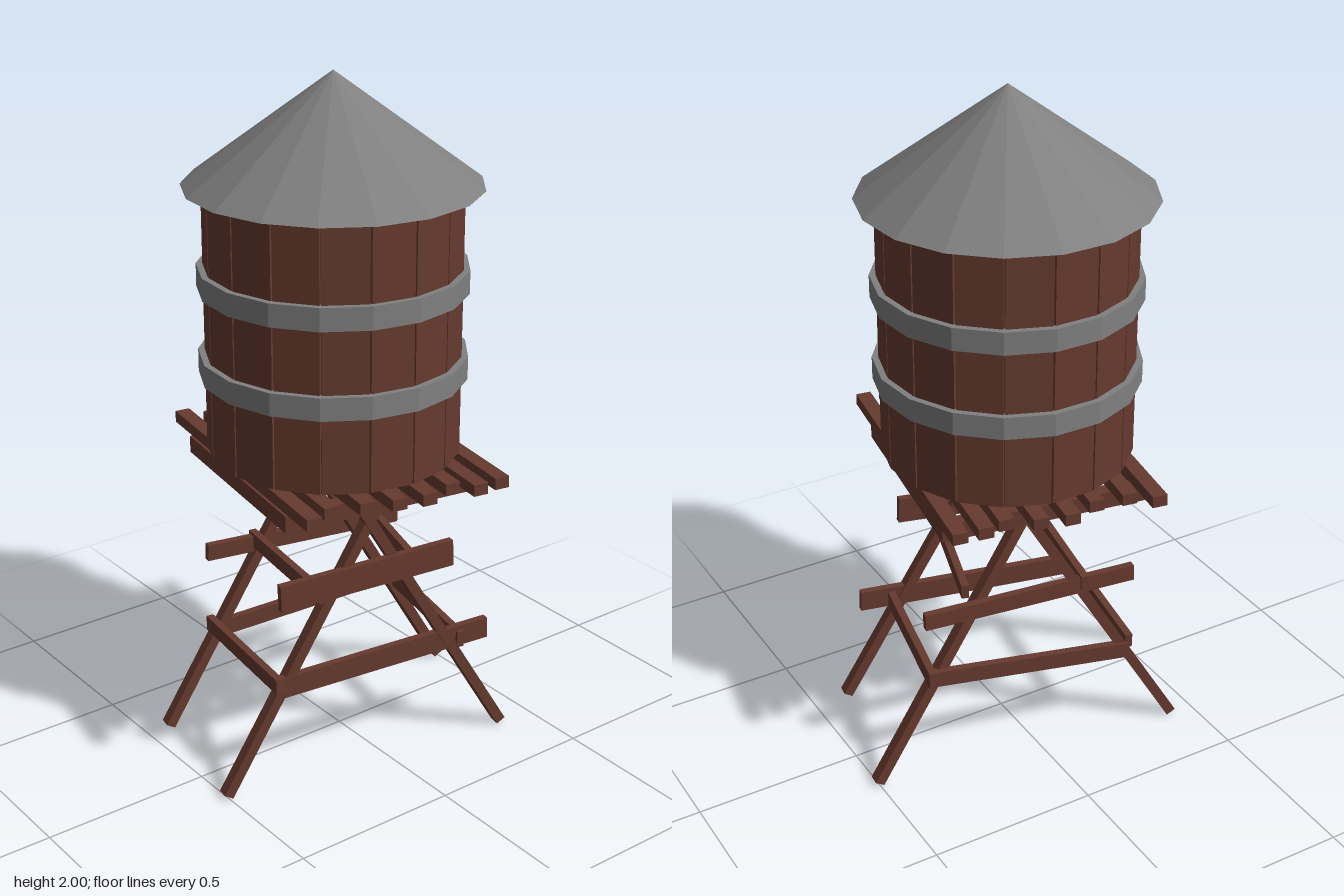
import * as THREE from 'three';

const wood = new THREE.MeshStandardMaterial({ color: 0x663a2e, flatShading: true });
const metal = new THREE.MeshStandardMaterial({ color: 0x808080, flatShading: true });
const SIDES = 17;
const CENTRE_Z = 0.02;
const TWIST = -0.156;

function add(parent, name, geometry, material, x = 0, y = 0, z = 0) {
  const mesh = new THREE.Mesh(geometry, material);
  mesh.name = name;
  mesh.position.set(x, y, z);
  parent.add(mesh);
  return mesh;
}

// Square-cut timber running from a to b
function timber(parent, name, a, b, width, height) {
  const from = new THREE.Vector3(...a), to = new THREE.Vector3(...b);
  const mesh = add(parent, name, new THREE.BoxGeometry(width, height, from.distanceTo(to)), wood);
  mesh.position.copy(from).add(to).multiplyScalar(0.5);
  mesh.lookAt(to);
  return mesh;
}

function createTank() {
  const tank = new THREE.Group();
  tank.name = 'tank';
  tank.position.z = CENTRE_Z;

  // Conical roof with a corner on +x
  add(tank, 'roof', new THREE.ConeGeometry(0.415, 0.31, SIDES, 1, false, Math.PI / 2), metal, 0, 1.845, 0);

  // Staves around a core
  add(tank, 'core', new THREE.CylinderGeometry(0.348, 0.348, 0.75, SIDES, 1, false, Math.PI / 2), wood, 0, 1.31, 0);
  add(tank, 'tankFloor', new THREE.CylinderGeometry(0.345, 0.345, 0.008, SIDES, 1, false, Math.PI / 2), metal, 0, 0.934, 0);
  const staves = new THREE.Group();
  staves.name = 'staves';
  tank.add(staves);
  const chord = 2 * 0.36 * Math.sin(Math.PI / SIDES);
  const apothem = 0.36 * Math.cos(Math.PI / SIDES);
  for (let i = 0; i < SIDES; i++) {
    const angle = Math.PI / 2 + ((i + 0.5) / SIDES) * Math.PI * 2;
    const r = apothem - 0.0125;
    const stave = add(staves, 'stave', new THREE.BoxGeometry(chord - 0.005, 0.76, 0.025), wood,
      Math.sin(angle) * r, 1.31, Math.cos(angle) * r);
    stave.rotation.y = angle;
  }

  // Flat metal hoops
  const hoop = [[0.35, -0.033], [0.378, -0.033], [0.378, 0.033], [0.35, 0.033], [0.35, -0.033]]
    .map(p => new THREE.Vector2(...p));
  for (const y of [1.183, 1.433]) {
    add(tank, 'hoop', new THREE.LatheGeometry(hoop, SIDES, Math.PI / 2), metal, 0, y, 0);
  }
  return tank;
}

function createPlatform() {
  const platform = new THREE.Group();
  platform.name = 'platform';
  platform.position.z = CENTRE_Z;
  platform.rotation.y = TWIST;

  // Uneven deck planks: [z, left end, right end]
  const planks = [
    [-0.294, -0.41, 0.43], [-0.22, -0.41, 0.44], [-0.155, -0.39, 0.4], [-0.066, -0.42, 0.43],
    [0.022, -0.43, 0.42], [0.11, -0.39, 0.4], [0.208, -0.39, 0.38], [0.28, -0.43, 0.42],
  ];
  for (const [z, x0, x1] of planks) {
    add(platform, 'deckPlank', new THREE.BoxGeometry(x1 - x0, 0.034, 0.044), wood, (x0 + x1) / 2, 0.912, z);
  }

  // Square frame under the deck
  for (const s of [-1, 1]) {
    add(platform, 'frameBeam', new THREE.BoxGeometry(0.04, 0.05, 0.62), wood, s * 0.29, 0.87, 0);
    add(platform, 'crossBeam', new THREE.BoxGeometry(0.54, 0.05, 0.04), wood, 0, 0.87, s * 0.29);
  }
  return platform;
}

function createStand() {
  const stand = new THREE.Group();
  stand.name = 'stand';

  // Two pairs of legs crossing near the top
  timber(stand, 'frontLeftLeg', [0.13, 0.008, 0.5], [0.205, 0.805, 0.032], 0.034, 0.03);
  timber(stand, 'backLeftLeg', [0.285, 0.008, -0.39], [0.205, 0.805, 0.073], 0.034, 0.03);
  timber(stand, 'frontRightLeg', [-0.29, 0.008, 0.427], [-0.208, 0.805, -0.037], 0.034, 0.03);
  timber(stand, 'backRightLeg', [-0.143, 0.008, -0.5], [-0.183, 0.805, -0.03], 0.034, 0.03);

  // Crooked boards nailed across the legs, lower ring then upper ring
  timber(stand, 'lowerFrontBoard', [-0.28, 0.312, 0.275], [0.18, 0.328, 0.345], 0.022, 0.045);
  timber(stand, 'lowerBackBoard', [-0.19, 0.335, -0.335], [0.28, 0.33, -0.235], 0.022, 0.05);
  timber(stand, 'lowerLeftBoard', [0.165, 0.315, 0.33], [0.275, 0.34, -0.335], 0.022, 0.064);
  timber(stand, 'lowerRightBoard', [-0.275, 0.285, 0.27], [-0.175, 0.335, -0.33], 0.022, 0.05);
  timber(stand, 'upperFrontBoard', [-0.265, 0.56, 0.125], [0.19, 0.573, 0.205], 0.022, 0.045);
  timber(stand, 'upperBackBoard', [-0.185, 0.603, -0.225], [0.25, 0.605, -0.09], 0.022, 0.042);
  timber(stand, 'upperLeftBoard', [0.17, 0.6, 0.335], [0.27, 0.625, -0.2], 0.022, 0.08);
  timber(stand, 'upperRightBoard', [-0.27, 0.553, 0.285], [-0.172, 0.537, -0.35], 0.022, 0.05);
  return stand;
}

export function createModel() {
  const model = new THREE.Group();
  model.name = 'waterTower';
  model.add(createTank(), createPlatform(), createStand());
  return model;
}
